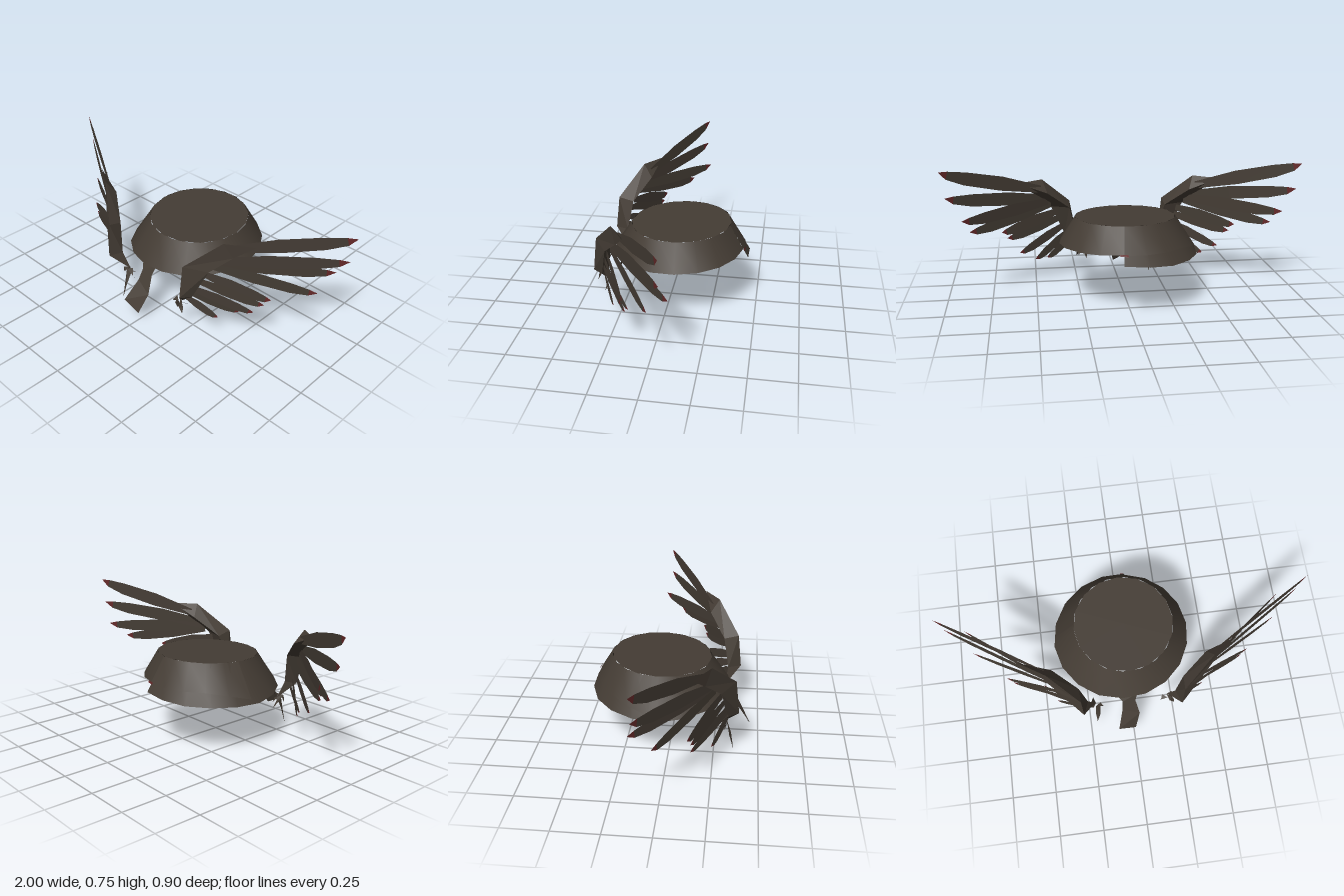
import * as THREE from 'three';

const brown = new THREE.MeshStandardMaterial({ color: 0x443c34, side: THREE.DoubleSide });
brown.name = 'dark brown';
const red = new THREE.MeshStandardMaterial({ color: 0x642828, side: THREE.DoubleSide });
red.name = 'dark red';

// Surface through rows of points; smooth rows share normals, flat ones do not.
function loft(name, rows, material, smooth = false) {
  const n = rows[0].length, index = [];
  for (let i = 0; i < rows.length - 1; i++) {
    for (let j = 0; j < n - 1; j++) {
      const a = i * n + j, b = a + 1, c = a + n, d = c + 1;
      index.push(a, c, b, b, c, d);
    }
  }
  let geo = new THREE.BufferGeometry();
  geo.setAttribute('position', new THREE.Float32BufferAttribute(rows.flat(2), 3));
  geo.setIndex(index);
  if (!smooth) geo = geo.toNonIndexed();
  geo.computeVertexNormals();
  const mesh = new THREE.Mesh(geo, material);
  mesh.name = name;
  return mesh;
}

// Piecewise linear lookup in [x, y] pairs.
function lookup(keys, x) {
  for (let i = 1; i < keys.length; i++) {
    const [x0, y0] = keys[i - 1], [x1, y1] = keys[i];
    if (x <= x1) return y0 + (y1 - y0) * (x - x0) / (x1 - x0);
  }
  return keys[keys.length - 1][1];
}

// Angle 0 is the back, 90 is +x.
const polar = (deg, r, y) => {
  const a = THREE.MathUtils.degToRad(deg);
  return [Math.sin(a) * r, y, -0.06 - Math.cos(a) * r];
};
const topY = (deg) => 0.48 + 0.01 * Math.cos(THREE.MathUtils.degToRad(deg));

// A hollow cone wall whose lower rim follows the height keys.
function wall(name, from, to, steps, keys, offset) {
  const upper = [], lower = [];
  for (let i = 0; i <= steps; i++) {
    const deg = from + (to - from) * i / steps, y = lookup(keys, deg);
    upper.push(polar(deg, 0.28 + offset * 0.3, topY(deg)));
    lower.push(polar(deg, 0.28 + (0.485 - y) * 0.6 + offset, y));
  }
  return loft(name, [upper, lower], brown, true);
}

function makeHat() {
  const hat = new THREE.Group();
  hat.name = 'hat';
  hat.add(wall('hatWall', 8, 368, 18,
    [[8, 0.355], [90, 0.335], [180, 0.31], [270, 0.272], [330, 0.285], [368, 0.305]], 0));
  hat.add(wall('hatOverlap', -85, 8, 5, [[-85, 0.3], [-55, 0.35], [8, 0.355]], 0.006));
  const edge = [], centre = [];
  for (let i = 0; i <= 16; i++) {
    edge.push(polar(i * 22.5, 0.28, topY(i * 22.5)));
    centre.push([0, 0.48, -0.06]);
  }
  hat.add(loft('hatTop', [edge, centre], brown));
  // small red end of the overlapping band
  hat.add(loft('bandEnd', [
    [polar(5, 0.366, 0.362), polar(12, 0.366, 0.362)],
    [polar(4, 0.37, 0.35), polar(11, 0.37, 0.352)],
  ], red));
  return hat;
}

// Feathers: root, tip, width scale.
const feathers = [
  [[0.46, 0.585, 0.20], [1.0, 0.755, -0.1], 1.05],
  [[0.42, 0.52, 0.25], [0.975, 0.612, -0.098], 1],
  [[0.41, 0.50, 0.255], [0.89, 0.49, -0.127], 0.95],
  [[0.40, 0.48, 0.26], [0.86, 0.40, -0.02], 0.9],
  [[0.36, 0.43, 0.29], [0.69, 0.35, 0.135], 0.9],
  [[0.33, 0.39, 0.315], [0.66, 0.31, 0.15], 0.8],
  [[0.31, 0.34, 0.33], [0.59, 0.22, 0.145], 0.75],
  [[0.29, 0.30, 0.33], [0.50, 0.178, 0.15], 0.7],
  [[0.27, 0.26, 0.33], [0.43, 0.155, 0.245], 0.65],
];
// Along the feather: position, upper and lower half width.
const outline = [[0, 0.02, 0.02], [0.4, 0.034, 0.042], [0.75, 0.024, 0.044], [0.92, 0.012, 0.03], [1, 0, 0]];

function makeWing(side) {
  const wing = new THREE.Group();
  wing.name = side > 0 ? 'leftWing' : 'rightWing';
  const mirror = (rows) => rows.map((row) => row.map(([x, y, z]) => [x * side, y, z]));

  feathers.forEach(([root, tip, width]) => {
    const a = new THREE.Vector3(...root), b = new THREE.Vector3(...tip);
    const dir = b.clone().sub(a).normalize();
    const up = new THREE.Vector3(0.54, 0, 0.84).cross(dir).normalize();
    const rows = outline.map(([t, u, d]) => [u, -d].map((w) =>
      a.clone().lerp(b, t).addScaledVector(up, w * width).toArray()));
    wing.add(loft('feather', mirror(rows.slice(0, 4)), brown));
    wing.add(loft('featherTip', mirror(rows.slice(3)), red));
  });

  // bent arm: leading edge, trailing edge, inner edge
  const tip = [0.59, 0.632, 0.15], foot = [0.21, 0.175, 0.29];
  const arm = [
    [tip, tip, tip],
    [[0.45, 0.635, 0.24], [0.49, 0.55, 0.21], [0.42, 0.56, 0.19]],
    [[0.285, 0.475, 0.365], [0.40, 0.46, 0.29], [0.29, 0.45, 0.28]],
    [[0.28, 0.28, 0.385], [0.32, 0.28, 0.33], [0.25, 0.28, 0.31]],
    [foot, foot, foot],
  ].map((s) => [...s, s[0]]);
  wing.add(loft('wingArm', mirror(arm), brown));

  // claws
  const long = side < 0;
  const claws = long
    ? [[0.21, 0, 0.362], [0.25, 0.15, 0.31], [0.165, 0.13, 0.30], [0.22, 0.12, 0.245]]
    : [[0.19, 0.12, 0.305], [0.25, 0.13, 0.335], [0.17, 0.17, 0.32], [0.24, 0.15, 0.27]];
  claws.forEach(([x, y, z]) => {
    const px = x < 0.215 ? 0.195 : 0.22;
    wing.add(loft('claw', mirror([
      [[px - 0.015, 0.2, 0.30], [px + 0.015, 0.19, 0.32]],
      [[(px + x) / 2 - 0.012, (0.19 + y) / 2, (0.31 + z) / 2 + 0.01], [(px + x) / 2 + 0.012, (0.19 + y) / 2, (0.31 + z) / 2]],
      [[x, y, z], [x, y, z]],
    ]), brown));
  });
  return wing;
}

export function createModel() {
  const model = new THREE.Group();
  model.name = 'wingedHat';
  model.add(makeHat(), makeWing(1), makeWing(-1));
  // hanging strap at the front
  model.add(loft('frontStrap', [
    [[-0.085, 0.31, 0.30], [0.03, 0.32, 0.31]],
    [[-0.055, 0.275, 0.335], [0.018, 0.27, 0.335]],
    [[-0.06, 0.215, 0.365], [0.038, 0.17, 0.385]],
    [[-0.09, 0.105, 0.45], [0.01, 0.057, 0.44]],
  ], brown));
  return model;
}
